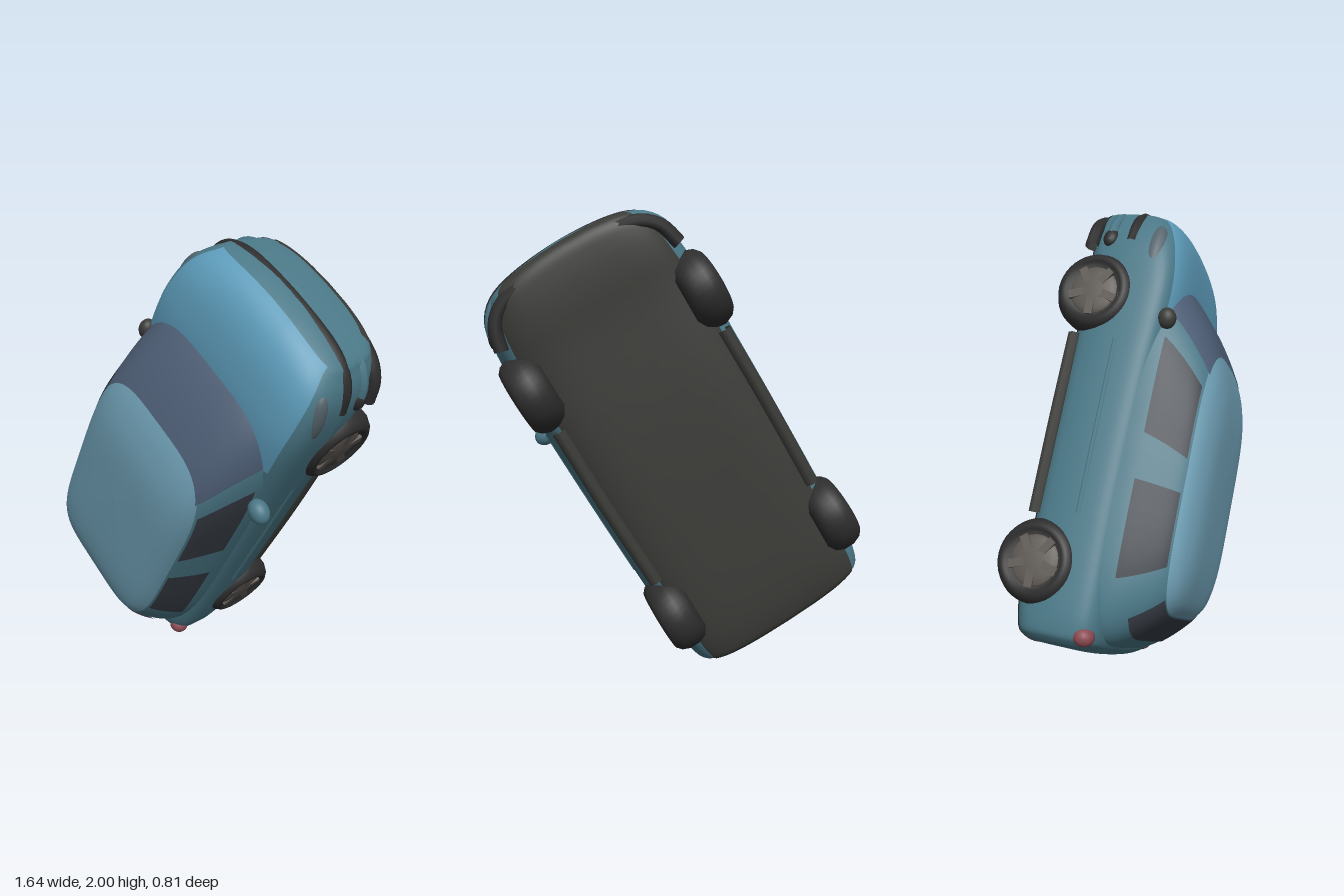
import * as THREE from 'three';

const RAD = Math.PI / 180;
const mat = (color, side = THREE.FrontSide) => new THREE.MeshStandardMaterial({ color, side });
const C = {
  paint: 0x4a7786, hood: 0x5c9ab8, roof: 0x6c9bb0, screen: 0x4b5b72, glass: 0x363c44,
  under: 0x3a3a37, rubber: 0x2d2d2d, hub: 0x5a5550, lamp: 0x55646c, red: 0x8a4a52,
};

// smooth interpolation of all columns of a table, t from 0 to 1
function track(rows) {
  const last = rows.length - 1;
  return (t) => {
    const i = Math.min(Math.floor(t * last), last - 1), k = t * last - i;
    const r = (j) => rows[Math.max(0, Math.min(last, j))];
    return rows[0].map((_, c) => {
      const a = r(i - 1)[c], b = r(i)[c], d = r(i + 1)[c], e = r(i + 2)[c];
      return b + 0.5 * k * (d - a + k * (2 * a - 5 * b + 4 * d - e + k * (3 * (b - d) + e - a)));
    });
  };
}
const pow = (v, n) => Math.sign(v) * Math.abs(v) ** (2 / n);

// lower body stations along the car: y, half width, bottom, top
const hull = track([
  [-0.945, 0.001, -0.12, -0.1], [-0.942, 0.32, -0.2, 0.02], [-0.925, 0.41, -0.25, 0.08],
  [-0.88, 0.445, -0.28, 0.115], [-0.72, 0.46, -0.3, 0.13], [-0.3, 0.465, -0.3, 0.13],
  [0.2, 0.465, -0.3, 0.14], [0.58, 0.465, -0.3, 0.16], [0.78, 0.455, -0.31, 0.14],
  [0.9, 0.43, -0.31, 0.1], [0.97, 0.38, -0.3, 0.04], [1, 0.31, -0.26, -0.04],
  [1.01, 0.001, -0.15, -0.13],
]);
function hullPoint(deg, t) {
  const [y, w, lo, hi] = hull(t), a = deg * RAD;
  const z = (lo + hi) / 2 - (hi - lo) / 2 * pow(Math.sin(a), 5);
  // sides tuck in towards the floor
  const x = w * pow(Math.cos(a), 5) * (1 - 0.45 * Math.max(0, -0.1 - z));
  const bow = y > 0 ? -0.075 * THREE.MathUtils.smoothstep(y, 0.5, 1) : 0.025 * THREE.MathUtils.smoothstep(-y, 0.5, 0.9);
  return [x, y + bow * (x / 0.46) ** 2, z];
}

// cabin rings going up: height, rear end, front end, half width
const cabin = track([
  [0.04, -0.91, 0.73, 0.45], [0.13, -0.89, 0.68, 0.44], [0.23, -0.82, 0.56, 0.41],
  [0.32, -0.73, 0.41, 0.37], [0.37, -0.65, 0.29, 0.315], [0.398, -0.48, 0.14, 0.21],
  [0.405, -0.12, -0.1, 0.001],
]);
function cabinPoint(deg, t) {
  const [z, back, front, w] = cabin(t), a = deg * RAD;
  const n = Math.sin(a) > 0 ? 4 : 5;
  return [w * pow(Math.cos(a), n), (back + front) / 2 + (front - back) / 2 * pow(Math.sin(a), n), z];
}

// grid mesh over part of a surface, raised by lift along its normals
function patch(name, surface, a0, a1, t0, t1, color, lift = 0) {
  const nu = Math.max(8, Math.ceil(Math.abs(a1 - a0) / 3)), nv = Math.max(8, Math.ceil((t1 - t0) * 60));
  const pos = [], idx = [];
  for (let j = 0; j <= nv; j++) {
    for (let i = 0; i <= nu; i++) {
      pos.push(...surface(a0 + (a1 - a0) * i / nu, t0 + (t1 - t0) * j / nv));
      if (i < nu && j < nv) {
        const p = j * (nu + 1) + i, q = p + nu + 1;
        idx.push(p, p + 1, q, p + 1, q + 1, q);
      }
    }
  }
  const g = new THREE.BufferGeometry();
  g.setAttribute('position', new THREE.Float32BufferAttribute(pos, 3));
  g.setIndex(idx);
  g.computeVertexNormals();
  const P = g.attributes.position, N = g.attributes.normal;
  for (let i = 0; i < P.count; i++) {
    P.setXYZ(i, P.getX(i) + lift * N.getX(i), P.getY(i) + lift * N.getY(i), P.getZ(i) + lift * N.getZ(i));
  }
  const m = new THREE.Mesh(g, mat(color, THREE.DoubleSide));
  m.name = name;
  return m;
}

function blob(name, color, pos, scale, turn = 0) {
  const m = new THREE.Mesh(new THREE.SphereGeometry(1, 20, 14), mat(color));
  m.name = name;
  m.position.set(...pos);
  m.scale.set(...scale);
  m.rotation.z = turn;
  return m;
}

function tube(name, color, points, r) {
  const curve = new THREE.CatmullRomCurve3(points.map((p) => new THREE.Vector3(...p)));
  const m = new THREE.Mesh(new THREE.TubeGeometry(curve, 40, r, 8), mat(color, THREE.DoubleSide));
  m.name = name;
  return m;
}

// wheel with its axle along x, outer face towards +x
function wheel() {
  const g = new THREE.Group();
  const profile = [[0, -0.085], [0.13, -0.085], [0.16, -0.06], [0.174, -0.02], [0.174, 0.025], [0.16, 0.06],
    [0.14, 0.078], [0.122, 0.078], [0.112, 0.058], [0, 0.058]].map((p) => new THREE.Vector2(...p));
  const tyre = new THREE.Mesh(new THREE.LatheGeometry(profile, 40), mat(C.rubber, THREE.DoubleSide));
  tyre.name = 'tyre';
  tyre.rotation.z = -Math.PI / 2;
  g.add(tyre, blob('hub', C.hub, [0.055, 0, 0], [0.02, 0.105, 0.105]));
  for (let i = 0; i < 5; i++) {
    const spoke = new THREE.Mesh(new THREE.BoxGeometry(0.02, 0.11, 0.035), mat(C.hub));
    spoke.name = 'spoke';
    const a = i * 72 * RAD;
    spoke.position.set(0.063, 0.055 * Math.cos(a), 0.055 * Math.sin(a));
    spoke.rotation.x = a;
    g.add(spoke);
  }
  return g;
}

export function createModel() {
  const car = new THREE.Group();
  car.name = 'car';

  // painted shells
  car.add(
    patch('lowerBody', hullPoint, 0, 360, 0, 1, C.paint),
    patch('hood', hullPoint, -140, -40, 0.56, 0.87, C.hood, 0.004),
    patch('underbody', hullPoint, 40, 140, 0.1, 0.92, C.under, 0.004),
    patch('cabin', cabinPoint, 0, 360, 0, 1, C.paint),
    patch('roof', cabinPoint, 0, 360, 0.51, 1, C.roof, 0.003),
    patch('windscreen', cabinPoint, 36, 144, 0.15, 0.52, C.screen, 0.006),
    patch('rearWindow', cabinPoint, -132, -48, 0.28, 0.5, C.glass, 0.006),
  );

  // bumper and grille bars wrapped around the nose
  const bar = (z, k) => [[-0.43, 0.78], [-0.4, 0.875], [-0.32, 0.942], [0, 0.985], [0.32, 0.942], [0.4, 0.875], [0.43, 0.78]]
    .map(([x, y]) => [x * k, y * k, z]);
  car.add(
    tube('grilleBar', C.rubber, bar(-0.09, 1), 0.026),
    tube('bumperBar', C.paint, bar(-0.19, 0.995), 0.024),
    tube('lowerBumper', C.rubber, bar(-0.275, 0.97), 0.03),
  );

  // mirrors, one swung further forward
  car.add(
    blob('leftMirror', C.paint, [0.48, 0.31, 0.13], [0.055, 0.045, 0.042], -0.3),
    blob('rightMirror', C.under, [-0.42, 0.46, 0.13], [0.035, 0.045, 0.04], 0.3),
  );

  for (const s of [1, -1]) {
    const side = s > 0 ? 'left' : 'right';
    const mid = s > 0 ? 0 : 180;
    // side glass with a pillar between the panes
    car.add(
      patch(side + 'FrontWindow', cabinPoint, mid + s * 0.5, mid + s * 23, 0.18, 0.49, C.glass, s * 0.005),
      patch(side + 'RearWindow', cabinPoint, mid - s * 21, mid - s * 0.5, 0.18, 0.49, C.glass, s * 0.005),
      blob(side + 'Headlight', C.lamp, [s * 0.415, 0.77, 0.02], [0.038, 0.11, 0.045], s * 0.2),
      blob(side + 'FogLamp', C.rubber, [s * 0.418, 0.8, -0.19], [0.03, 0.045, 0.035], s * 0.3),
      blob(side + 'TailLight', C.red, [s * 0.405, -0.87, 0.05], [0.045, 0.04, 0.045]),
      tube(side + 'Sill', C.under, [[s * 0.4, -0.42, -0.27], [s * 0.405, 0, -0.27], [s * 0.4, 0.36, -0.27]], 0.03),
      tube(side + 'DoorMoulding', C.paint, [[s * 0.458, -0.4, -0.06], [s * 0.46, 0, -0.06], [s * 0.458, 0.34, -0.06]], 0.012),
    );
    for (const [end, y] of [['Front', 0.54], ['Rear', -0.615]]) {
      const w = wheel();
      w.name = side + end + 'Wheel';
      w.position.set(s * 0.405, y, -0.2);
      if (s < 0) w.rotation.z = Math.PI;
      car.add(w);
    }
  }

  // the car lies roof forward, turned and slightly rolled
  const roll = new THREE.Group();
  roll.name = 'rolledCar';
  car.position.x = 0.015;
  roll.add(car);
  roll.rotation.y = 0.06;
  const turn = new THREE.Group();
  turn.name = 'turnedCar';
  turn.rotation.z = -30.5 * RAD;
  turn.position.y = 1;
  turn.add(roll);
  const model = new THREE.Group();
  model.name = 'model';
  model.add(turn);
  return model;
}
